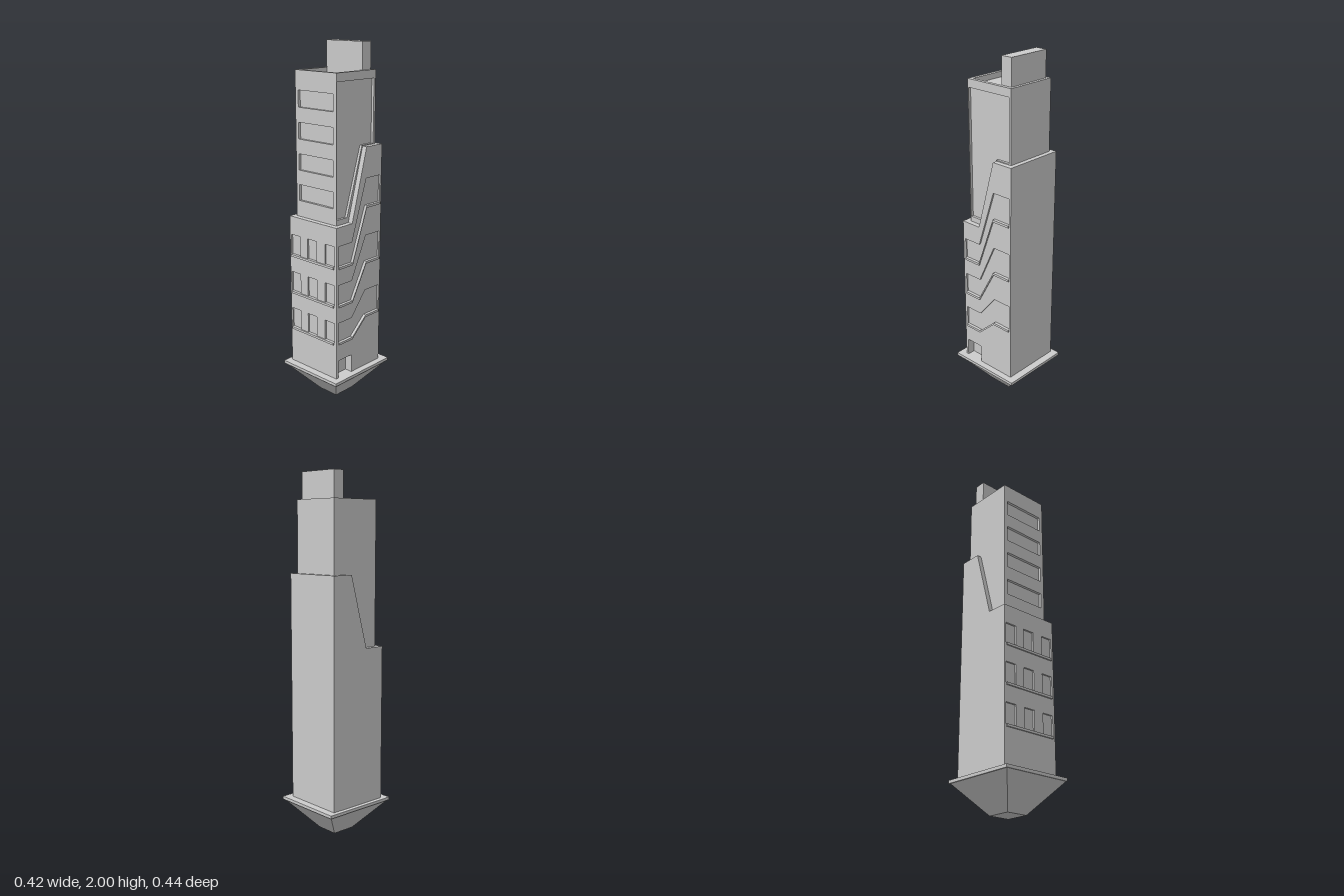
import * as THREE from 'three';

const mat = new THREE.MeshStandardMaterial({ color: 0xcccccc, flatShading: true });

export function createModel() {
  const model = new THREE.Group();
  const add = (name, geo) => {
    const m = new THREE.Mesh(geo, mat);
    m.name = name;
    model.add(m);
    return m;
  };
  const box = (name, x0, x1, y0, y1, z0, z1) =>
    add(name, new THREE.BoxGeometry(x1 - x0, y1 - y0, z1 - z0)
      .translate((x0 + x1) / 2, (y0 + y1) / 2, (z0 + z1) / 2));
  const rect = (a0, a1, b0, b1) => [[a0, b0], [a1, b0], [a1, b1], [a0, b1]];
  const extrude = (pts, holes, depth) => {
    const v = list => list.map(([a, b]) => new THREE.Vector2(a, b));
    const shape = new THREE.Shape(v(pts));
    holes.forEach(h => shape.holes.push(new THREE.Path(v(h))));
    return new THREE.ExtrudeGeometry(shape, { depth, bevelEnabled: false });
  };
  // Outline in (x, y), running from z0 to z1
  const frontSlab = (name, pts, holes, z0, z1) =>
    add(name, extrude(pts, holes, z1 - z0).translate(0, 0, z0));
  // Outline in (z, y), running from x0 to x1
  const sideSlab = (name, pts, holes, x0, x1) => {
    const flip = list => list.map(([z, y]) => [-z, y]);
    add(name, extrude(flip(pts), holes.map(flip), x1 - x0)
      .rotateY(Math.PI / 2).translate(x0, 0, 0));
  };

  // Tapered foot and base plate
  const foot = new THREE.CylinderGeometry(Math.SQRT2, Math.SQRT2 * 0.31, 0.17, 4, 1)
    .rotateY(Math.PI / 4).scale(0.204, 1, 0.218).translate(0, 0.085, 0);
  add('taperedFoot', foot);
  box('basePlate', -0.209, 0.207, 0.168, 0.185, -0.223, 0.221);

  // Lower body with stepped, sloping top
  const bodyTop = [[-0.055, 1.46], [-0.18, 1.46]];
  const profile = zFront => [[-0.18, 0.185], [zFront, 0.185], [zFront, 1.06], [0.055, 1.06], ...bodyTop];
  // Same profile with a doorway cut into its lower edge
  const doorProfile = [[-0.18, 0.185], [0.055, 0.185], [0.055, 0.29], [0.162, 0.29], [0.162, 0.185],
    [0.168, 0.185], [0.168, 1.06], [0.055, 1.06], ...bodyTop];
  sideSlab('lowerBody', profile(0.168), [], -0.185, 0.125);
  sideSlab('doorWall', doorProfile, [], 0.125, 0.16);

  // Floors: front windows, rising side windows and ledges
  const floors = [[0.40, 0.50], [0.62, 0.82], [0.84, 1.14]];
  const windows = [], sideBands = [];
  floors.forEach(([lo, hi]) => {
    [-0.14, -0.013, 0.12].forEach(x => windows.push(rect(x - 0.035, x + 0.035, lo, lo + 0.115)));
    sideBands.push([[0.162, lo], [0.055, lo], [-0.055, hi], [-0.167, hi],
      [-0.167, hi + 0.15], [-0.055, hi + 0.15], [0.055, lo + 0.115], [0.162, lo + 0.115]]);
    box('frontLedge', -0.172, 0.153, lo - 0.013, lo, 0.17, 0.186);
    sideSlab('sideLedge', [[0.16, lo - 0.013], [0.055, lo - 0.013], [-0.055, hi - 0.013],
      [-0.167, hi - 0.013], [-0.167, hi], [-0.055, hi], [0.055, lo], [0.16, lo]], [], 0.162, 0.177);
  });
  frontSlab('lowerFrontWall', rect(-0.185, 0.17, 0.185, 1.06), windows, 0.168, 0.178);
  sideSlab('lowerSideWall', doorProfile, sideBands, 0.16, 0.17);

  // Upper tower
  box('upperTower', -0.158, 0.126, 1.0, 1.825, -0.154, 0.132);
  const towerWindows = [1.15, 1.32, 1.49, 1.66].map(y => rect(-0.137, 0.118, y, y + 0.09));
  frontSlab('towerFrontWall', rect(-0.158, 0.126, 1.04, 1.825), towerWindows, 0.132, 0.147);
  const panel = [[0.142, 1.09], [0.065, 1.09], [-0.05, 1.465], [-0.14, 1.465], [-0.14, 1.81], [0.142, 1.81]];
  sideSlab('towerSidePanelFrame', rect(-0.154, 0.147, 1.04, 1.825), [panel], 0.126, 0.141);

  // Roof parapet and rear fin
  const parapet = extrude(rect(-0.158, 0.141, -0.147, 0.154), [rect(-0.137, 0.12, -0.127, 0.137)], 0.03)
    .rotateX(-Math.PI / 2).translate(0, 1.825, 0);
  add('roofParapet', parapet);
  box('roofFin', -0.137, 0.12, 1.82, 2.0, -0.137, -0.07);

  return model;
}
